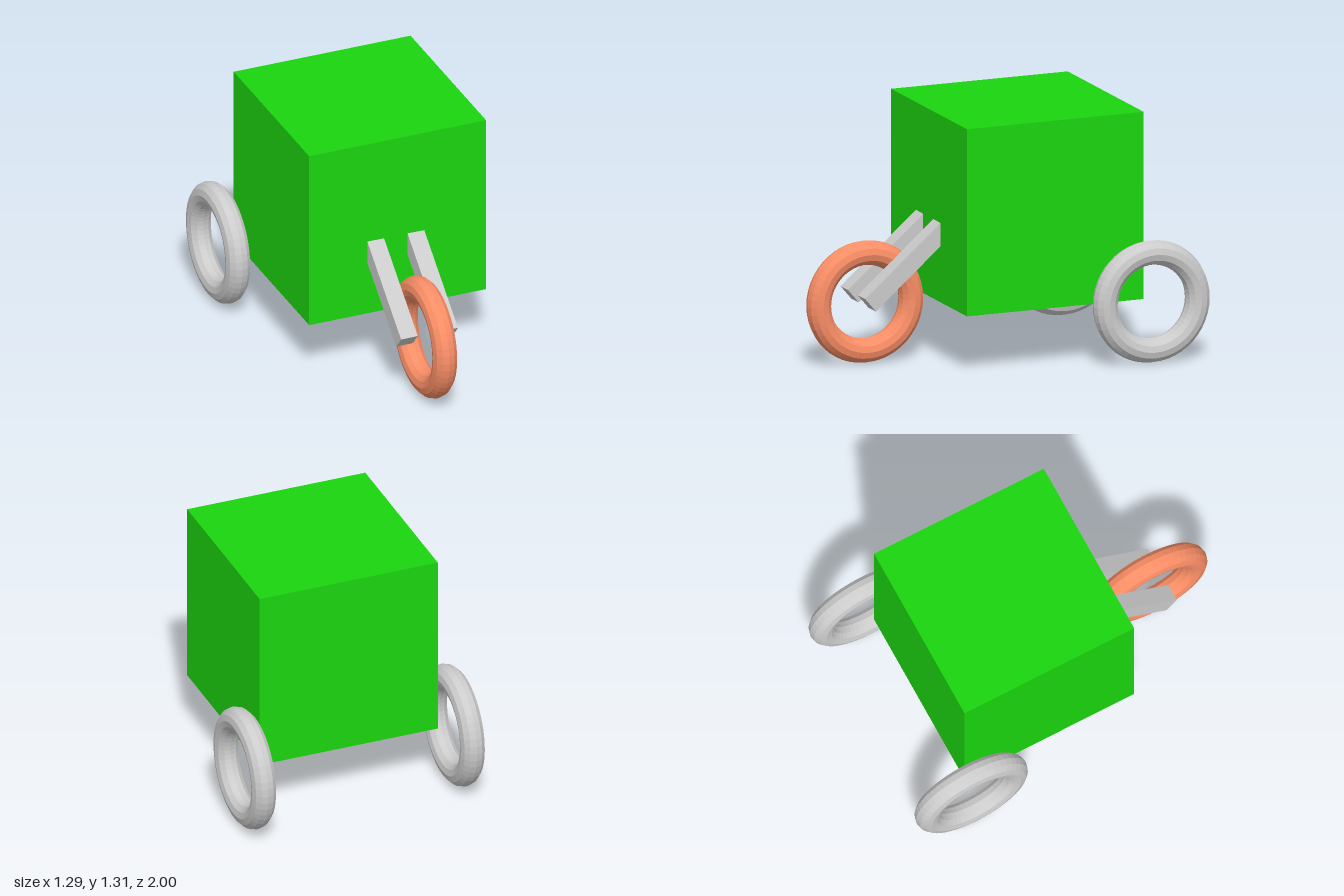
import * as THREE from 'three';

const paint = (color) => new THREE.MeshStandardMaterial({ color, flatShading: true });

export function createModel() {
  const model = new THREE.Group();
  model.name = 'tricycleCart';
  const grey = paint(0xcccccc);
  const green = paint(0x1bd60f);
  const coral = paint(0xfa8e66);

  const add = (name, geometry, material, x, y, z) => {
    const mesh = new THREE.Mesh(geometry, material);
    mesh.name = name;
    mesh.position.set(x, y, z);
    model.add(mesh);
    return mesh;
  };

  // Cubic body
  add('body', new THREE.BoxGeometry(0.99, 0.99, 0.99), green, 0, 0.812, -0.177);

  // Ring wheels, with the axle along x
  const ring = new THREE.TorusGeometry(0.258, 0.0645, 12, 48).rotateY(Math.PI / 2);
  add('frontWheel', ring, coral, 0, 0.3225, 0.678);
  add('leftRearWheel', ring, grey, 0.58, 0.3225, -0.678);
  add('rightRearWheel', ring, grey, -0.58, 0.3225, -0.678);

  // Fork bars, running from the front hub up and back into the body
  const length = 0.8;
  const bar = new THREE.BoxGeometry(0.094, 0.094, length).translate(0, 0, length / 2);
  const slope = THREE.MathUtils.degToRad(40.4);
  for (const [name, x] of [['leftForkBar', 0.109], ['rightForkBar', -0.116]]) {
    const y = 0.339, z = 0.713;
    add(name, bar, grey, x, y, z)
      .lookAt(x - 0.013, y + Math.sin(slope), z - Math.cos(slope));
  }

  return model;
}
